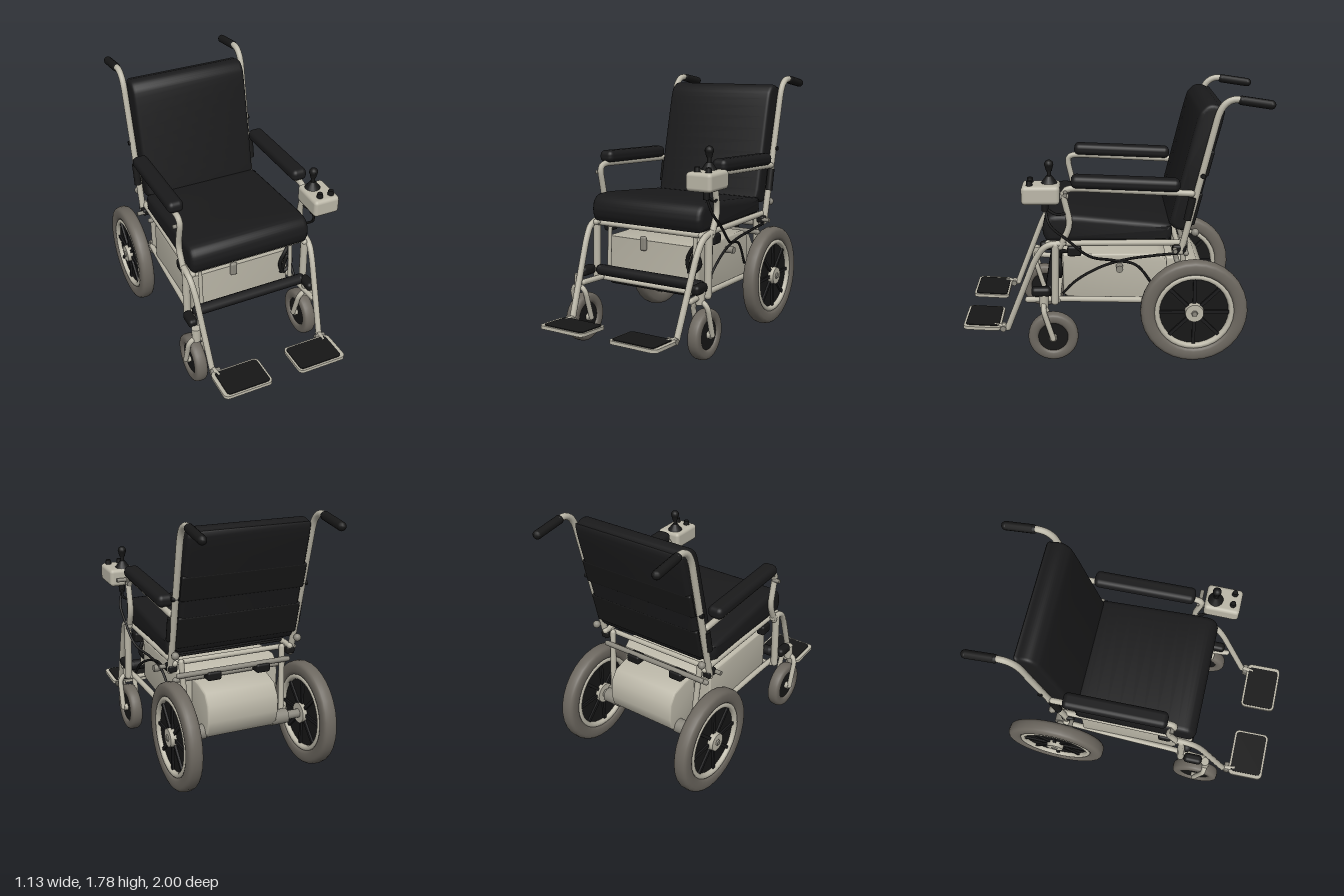
import * as THREE from 'three';
import { toCreasedNormals } from 'three/addons/utils/BufferGeometryUtils.js';
import { RoundedBoxGeometry } from 'three/addons/geometries/RoundedBoxGeometry.js';

export function createModel() {
  const model = new THREE.Group();
  model.name = 'poweredWheelchair';
  const mat = (name, color) => {
    const m = new THREE.MeshStandardMaterial({ color });
    m.name = name;
    return m;
  };
  const paint = mat('warmGreyPaint', 0xbbb7a8);
  const rubber = mat('tyreRubber', 0x6c675f);
  const fabric = mat('blackUpholstery', 0x1a1a1b);
  const plastic = mat('blackPlastic', 0x171717);
  const metal = mat('dullMetal', 0x8a877d);
  const V = (p) => new THREE.Vector3(...p);

  const add = (name, geo, material, pos = [0, 0, 0], parent = model) => {
    const m = new THREE.Mesh(geo, material);
    m.name = name;
    m.position.set(...pos);
    parent.add(m);
    return m;
  };
  const rbox = (name, size, pos, material, r = 0.015) =>
    add(name, new RoundedBoxGeometry(...size, 3, r), material, pos);

  // Round bar between two points
  const rod = (name, a, b, r, material, sides = 12, r2 = r) => {
    const d = V(b).sub(V(a));
    const m = add(name, new THREE.CylinderGeometry(r2, r, d.length(), sides), material);
    m.position.copy(V(a)).addScaledVector(d, 0.5);
    m.quaternion.setFromUnitVectors(new THREE.Vector3(0, 1, 0), d.normalize());
  };

  // Bent tube: straight runs joined by rounded corners, with domed ends
  const pipe = (name, pts, r, material, bend = 0.06) => {
    const v = pts.map(V), path = new THREE.CurvePath();
    let from = v[0];
    for (let i = 1; i < v.length - 1; i++) {
      const toward = (q) => {
        const d = q.clone().sub(v[i]), l = d.length();
        return v[i].clone().addScaledVector(d, Math.min(bend, l * 0.45) / l);
      };
      const a = toward(v[i - 1]), b = toward(v[i + 1]);
      path.add(new THREE.LineCurve3(from, a));
      path.add(new THREE.QuadraticBezierCurve3(a, v[i], b));
      from = b;
    }
    path.add(new THREE.LineCurve3(from, v[v.length - 1]));
    const g = new THREE.Group();
    g.name = name;
    model.add(g);
    add(name + 'Run', new THREE.TubeGeometry(path, v.length * 12, r, 10), material, [0, 0, 0], g);
    for (const p of [pts[0], pts[pts.length - 1]]) add(name + 'End', new THREE.SphereGeometry(r, 10, 8), material, p, g);
  };

  const cable = (name, pts, r = 0.009) =>
    add(name, new THREE.TubeGeometry(new THREE.CatmullRomCurve3(pts.map(V)), 36, r, 6), plastic);

  // Side profile of [z, y] points extruded across x
  const prism = (name, pts, width, x, bevel, material, smooth) => {
    const p = pts.map((q) => new THREE.Vector2(...q));
    const outline = smooth ? new THREE.SplineCurve([...p, p[0]]).getPoints(48).slice(0, -1) : p;
    const geo = new THREE.ExtrudeGeometry(new THREE.Shape(outline), {
      depth: width - 2 * bevel, bevelSize: bevel, bevelThickness: bevel, bevelOffset: -bevel, bevelSegments: 3,
    });
    geo.translate(0, 0, bevel - width / 2).rotateY(-Math.PI / 2);
    add(name, toCreasedNormals(geo, 0.75), material, [x, 0, 0]);
  };

  // Flat slab with rounded corners, lying level
  const slab = (name, w, d, h, r, material, pos, parent) => {
    const s = new THREE.Shape(), x = w / 2 - r, y = d / 2 - r;
    [[x, y], [-x, y], [-x, -y], [x, -y]].forEach(([cx, cy], i) =>
      s.absarc(cx, cy, r, i * Math.PI / 2, (i + 1) * Math.PI / 2, false));
    const geo = new THREE.ExtrudeGeometry(s, { depth: h, bevelEnabled: false, curveSegments: 6 });
    geo.translate(0, 0, -h / 2).rotateX(-Math.PI / 2);
    add(name, toCreasedNormals(geo, 0.75), material, pos, parent);
  };

  // Wheel about the x axis; side tells which way is outward
  const wheel = (name, pos, R, inner, half, side, spokes) => {
    const g = new THREE.Group();
    g.name = name;
    g.position.set(...pos);
    g.rotation.z = -side * Math.PI / 2;
    model.add(g);
    const h = (R - inner) / 2, pw = (v) => Math.sign(v) * Math.abs(v) ** 0.7;
    const ring = (label, mid, dr, dy, m) => {
      const pts = [];
      for (let i = 0; i <= 20; i++) {
        const t = -Math.PI + (i / 20) * Math.PI * 2;
        pts.push(new THREE.Vector2(mid + dr * pw(Math.cos(t)), dy * pw(Math.sin(t))));
      }
      add(label, new THREE.LatheGeometry(pts, 32), m, [0, 0, 0], g);
    };
    ring('tyre', R - h, h, half, rubber);
    if (spokes) {
      ring('rim', inner - 0.008, 0.02, half * 0.88, paint);
      add('wheelDisc', new THREE.CylinderGeometry(inner - 0.01, inner - 0.01, half * 0.7, 32), plastic, [0, 0, 0], g);
      for (let i = 0; i < 8; i++) {
        const a = (i / 8) * Math.PI * 2;
        const s = add('spoke', new THREE.BoxGeometry(0.17, half * 1.25, 0.022), fabric, [Math.cos(a) * 0.145, 0, Math.sin(a) * 0.145], g);
        s.rotation.y = -a;
      }
      add('hub', new THREE.CylinderGeometry(0.06, 0.07, half * 2.1, 20), paint, [0, 0.003, 0], g);
      add('hubNut', new THREE.CylinderGeometry(0.018, 0.024, 0.012, 6), metal, [0, half + 0.009, 0], g);
    } else {
      add('wheelDisc', new THREE.CylinderGeometry(inner + 0.005, inner + 0.005, half * 1.2, 28), plastic, [0, 0, 0], g);
      add('hub', new THREE.CylinderGeometry(0.025, 0.025, half * 2.4, 12), paint, [0, 0, 0], g);
    }
  };

  // Seat and backrest cushions
  prism('seatCushion', [[0.455, 0.93], [0.43, 1.0], [0.34, 1.03], [0, 1.0], [-0.34, 0.965], [-0.38, 0.94],
    [-0.38, 0.87], [-0.34, 0.85], [0, 0.848], [0.38, 0.845], [0.44, 0.87]], 0.85, 0, 0.035, fabric, true);
  prism('backCushion', [[-0.365, 0.96], [-0.445, 1.3], [-0.525, 1.63], [-0.56, 1.705], [-0.61, 1.735], [-0.67, 1.72],
    [-0.695, 1.67], [-0.6, 1.28], [-0.52, 0.96], [-0.48, 0.915], [-0.41, 0.92]], 0.82, 0, 0.025, fabric, true);
  for (const [y, z, h] of [[1.36, -0.608, 0.17], [1.06, -0.535, 0.22]])
    rbox('backStrap', [0.84, h, 0.03], [0, y, z], plastic, 0.012).rotation.x = -0.23;

  // Battery box with the rounded drive housing behind it
  prism('batteryBox', [[0.33, 0.73], [-0.3, 0.73], [-0.36, 0.68], [-0.36, 0.38], [-0.2, 0.385], [0.3, 0.43], [0.33, 0.45]], 0.72, -0.02, 0.012, paint);
  prism('driveHousing', [[-0.2, 0.68], [-0.46, 0.67], [-0.57, 0.64], [-0.62, 0.57], [-0.63, 0.46], [-0.61, 0.38], [-0.56, 0.33],
    [-0.48, 0.315], [-0.2, 0.33]], 0.5, 0, 0.012, paint);
  rbox('boxLatch', [0.05, 0.1, 0.03], [-0.08, 0.71, 0.34], metal);
  for (const x of [-0.24, 0.24]) rbox('boxSupport', [0.05, 0.022, 0.5], [x, 0.405, 0.06], plastic, 0.01);
  rod('axle', [-0.5, 0.365, -0.536], [0.44, 0.365, -0.536], 0.03, metal);

  for (const s of [-1, 1]) {
    const side = s > 0 ? 'left' : 'right';
    const X = (pts) => pts.map(([x, y, z]) => [s * x, y, z]);
    // Back post, push handle and grip
    pipe(side + 'BackPost', X([[0.43, 0.78, -0.44], [0.44, 1.72, -0.66], [0.44, 1.78, -0.735], [0.44, 1.755, -0.86]]), 0.022, paint, 0.08);
    pipe(side + 'Grip', X([[0.44, 1.766, -0.79], [0.44, 1.738, -0.973]]), 0.029, plastic);
    // Armrest
    pipe(side + 'ArmTube', X([[0.445, 1.175, -0.5], [0.445, 1.215, 0.27], [0.445, 1.19, 0.32], [0.445, 0.97, 0.27], [0.44, 0.82, 0.34]]), 0.021, paint);
    rbox(side + 'ArmPad', [0.108, 0.082, 0.69], [s * 0.442, 1.246, -0.08], fabric, 0.034).rotation.x = -0.045;
    rod(side + 'ArmSocket', [s * 0.445, 1.0, -0.475], [s * 0.445, 1.15, -0.505], 0.025, plastic);
    // Seat rail and lower chassis
    pipe(side + 'SeatRail', X([[0.41, 0.835, 0.42], [0.41, 0.835, -0.47]]), 0.02, paint);
    pipe(side + 'LowerRail', X([[0.42, 0.445, 0.56], [0.4, 0.44, 0.3], [0.38, 0.42, -0.2], [0.36, 0.4, -0.5]]), 0.02, paint);
    pipe(side + 'FrontUpright', X([[0.44, 0.83, 0.37], [0.44, 0.44, 0.38]]), 0.026, paint);
    pipe(side + 'InnerUpright', X([[0.335, 0.82, 0.36], [0.335, 0.52, 0.38]]), 0.014, paint);
    pipe(side + 'RearUpright', X([[0.36, 0.83, -0.45], [0.34, 0.38, -0.5]]), 0.02, paint);
    rod(side + 'Motor', [s * 0.24, 0.365, -0.536], [s * 0.36, 0.365, -0.536], 0.05, metal, 20);
    rbox(side + 'RearClamp', [0.06, 0.05, 0.09], [s * 0.42, 0.8, -0.43], plastic);
    rbox(side + 'FrontClamp', [0.06, 0.07, 0.09], [s * 0.41, 0.785, 0.25], plastic);
    add(side + 'HeightKnob', new THREE.SphereGeometry(0.026, 12, 10), metal, [s * 0.43, 0.91, -0.53]);
    rod(side + 'PostBolt', [s * 0.42, 1.29, -0.565], [s * 0.465, 1.29, -0.565], 0.016, plastic);
    rod(side + 'FrameBolt', [s * 0.42, 0.8, -0.4], [s * 0.49, 0.8, -0.4], 0.015, metal);
    // Leg rest and footplate
    pipe(side + 'LegRest', X([[0.44, 0.845, 0.32], [0.44, 0.83, 0.44], [0.43, 0.73, 0.505], [0.405, 0.235, 0.7]]), 0.021, paint);
    rod(side + 'FootHinge', [s * 0.36, 0.235, 0.73], [s * 0.43, 0.235, 0.73], 0.02, metal);
    const plate = new THREE.Group();
    plate.name = side + 'Footplate';
    plate.position.set(s * 0.27, 0.247, 0.87);
    plate.rotation.x = -0.06;
    model.add(plate);
    slab('plate', 0.345, 0.25, 0.022, 0.035, paint, [0, 0, 0], plate);
    for (const y of [0.013, -0.013]) slab('treadPad', 0.305, 0.222, 0.007, 0.025, plastic, [-s * 0.006, y, 0], plate);
    rod(side + 'FootBracket', [s * 0.405, 0.235, 0.69], [s * 0.39, 0.24, 0.79], 0.02, paint);

    // Drive wheel, caster and fork
    wheel(side + 'DriveWheel', [s > 0 ? 0.435 : -0.505, 0.366, -0.536], 0.355, 0.255, 0.051, s, true);
    const cx = s > 0 ? 0.428 : -0.455, cz = s > 0 ? 0.396 : 0.505, top = cz + 0.06;
    wheel(side + 'Caster', [cx, 0.188, cz], 0.167, 0.095, 0.043, s, false);
    for (const dx of [-0.055, 0.055])
      pipe(side + 'Fork', [[cx, 0.43, top], [cx + dx, 0.39, top], [cx + dx, 0.188, cz]], 0.018, paint, 0.04);
    rod(side + 'CasterStem', [cx, 0.4, top], [cx, 0.5, top - 0.005], 0.03, paint);
    rbox(side + 'CasterBearing', [0.065, 0.065, 0.13], [cx, 0.505, 0.47], plastic, 0.025);
  }

  // Cross members
  pipe('frontCrossBar', [[-0.42, 0.825, 0.38], [0.42, 0.825, 0.38]], 0.018, paint);
  pipe('calfBar', [[-0.38, 0.505, 0.41], [0.4, 0.505, 0.41]], 0.037, fabric);
  pipe('lowerCrossBar', [[-0.36, 0.41, 0.3], [0.27, 0.41, 0.3]], 0.022, plastic);
  pipe('lowerFrontTube', [[-0.42, 0.435, 0.36], [0.42, 0.435, 0.36]], 0.016, paint);
  for (const [y, z] of [[0.82, -0.42], [0.75, -0.48], [0.7, -0.42]])
    pipe('rearCrossBar', [[-0.39, y, z], [0.39, y, z]], 0.018, y > 0.8 ? paint : metal);
  rbox('seatPan', [0.8, 0.015, 0.76], [0, 0.845, 0], plastic, 0.006);
  for (const x of [-0.2, 0.15]) rbox('rearConnector', [0.1, 0.06, 0.08], [x, 0.72, -0.47], plastic);

  // Joystick control
  rbox('controlBox', [0.182, 0.12, 0.24], [0.472, 1.195, 0.452], paint, 0.025);
  rod('stickBoot', [0.455, 1.25, 0.4], [0.455, 1.3, 0.4], 0.055, plastic, 16, 0.018);
  rod('stick', [0.455, 1.29, 0.4], [0.455, 1.36, 0.4], 0.013, plastic);
  rod('stickKnob', [0.455, 1.33, 0.4], [0.455, 1.375, 0.4], 0.018, plastic, 14, 0.029);
  add('stickTop', new THREE.SphereGeometry(0.029, 14, 10), plastic, [0.455, 1.373, 0.4]);
  for (const x of [0.44, 0.52]) rod('controlKnob', [x, 1.25, 0.52], [x, 1.285, 0.52], 0.022, plastic, 12, 0.017);
  rod('cableSocket', [0.455, 1.07, 0.43], [0.455, 1.14, 0.43], 0.022, plastic);
  rod('controlBracket', [0.445, 1.16, 0.28], [0.445, 1.16, 0.36], 0.018, metal);
  rod('controlClampBolt', [0.46, 1.19, 0.3], [0.53, 1.19, 0.3], 0.014, metal);
  rod('armClampBolt', [-0.44, 1.155, 0.3], [-0.49, 1.155, 0.3], 0.014, metal);

  // Cables and the bundle beside the box
  cable('controlCable', [[0.455, 1.08, 0.43], [0.48, 0.98, 0.4], [0.48, 0.88, 0.29], [0.46, 0.76, 0.15], [0.4, 0.71, 0], [0.38, 0.67, -0.15], [0.36, 0.5, -0.28]]);
  cable('armCable', [[0.455, 1.09, 0.43], [0.47, 1.05, 0.36], [0.45, 1.05, 0.29]]);
  cable('frameCable', [[0.4, 0.48, 0.33], [0.4, 0.57, 0.24], [0.39, 0.66, 0.08], [0.39, 0.71, -0.08], [0.42, 0.75, -0.28], [0.43, 0.77, -0.46]]);
  cable('bundleCable', [[0.4, 0.77, 0.26], [0.32, 0.74, 0.34], [0.27, 0.64, 0.35], [0.3, 0.56, 0.35], [0.36, 0.62, 0.34], [0.33, 0.7, 0.35], [0.28, 0.56, 0.35]], 0.013);
  rod('boxPlug', [0.33, 0.645, -0.045], [0.4, 0.645, -0.045], 0.024, metal);
  return model;
}
